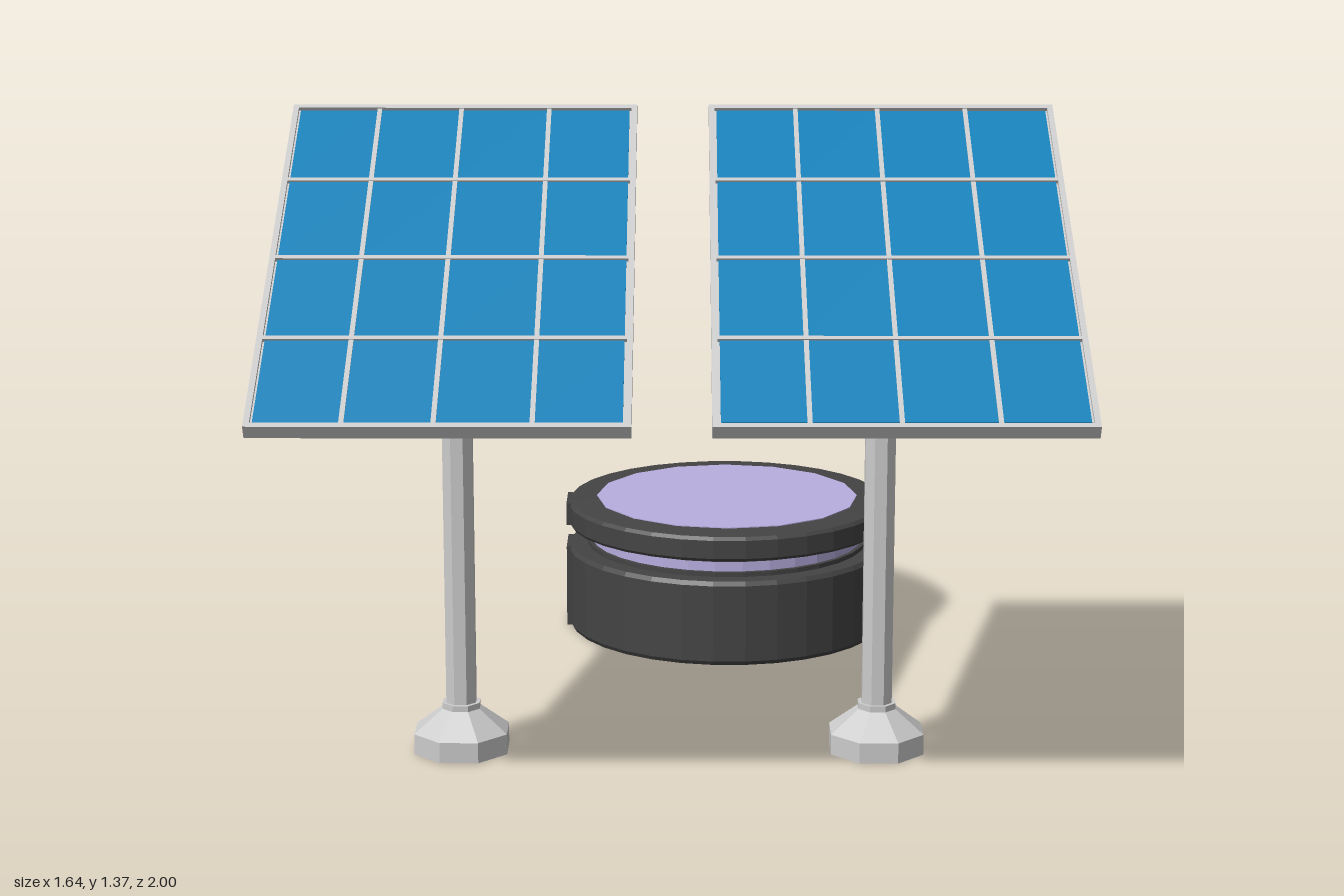
import * as THREE from 'three';

const mat = (color, extra = {}) => new THREE.MeshStandardMaterial({ color, flatShading: true, ...extra });
const grey = mat(0xcccccc);
const blue = mat(0x1280b8);
const dark = mat(0x444444);
const lilac = mat(0xb8aee0);

function add(parent, name, geometry, material, x = 0, y = 0, z = 0) {
  const mesh = new THREE.Mesh(geometry, material);
  mesh.name = name;
  mesh.position.set(x, y, z);
  parent.add(mesh);
  return mesh;
}

// Lathed solid from [radius, y] points; flats face the axes when turned half a step
function turned(points, sides, halfStep = true) {
  const g = new THREE.LatheGeometry(points.map(([r, y]) => new THREE.Vector2(r, y)), sides);
  return halfStep ? g.rotateY(Math.PI / sides) : g;
}

function solarPanel() {
  const panel = new THREE.Group();
  panel.name = 'solarPanel';
  const W = 0.745, L = 1.03, T = 0.03, rim = 0.012;
  add(panel, 'backing', new THREE.BoxGeometry(W - 0.01, T - 0.008, L - 0.01), grey, 0, -0.004, 0);

  // Outer frame
  for (const s of [-1, 1]) {
    add(panel, 'sideRail', new THREE.BoxGeometry(rim, T, L), grey, s * (W - rim) / 2, 0, 0);
    add(panel, 'endRail', new THREE.BoxGeometry(W, T, rim), grey, 0, 0, s * (L - rim) / 2);
  }

  // Cells between the divider lines
  const xs = [-0.361, -0.185, -0.008, 0.182, 0.361];
  const zs = [-0.503, -0.253, 0.004, 0.254, 0.503];
  for (let i = 0; i < 4; i++) for (let j = 0; j < 4; j++) {
    const w = xs[i + 1] - xs[i] - 0.01, l = zs[j + 1] - zs[j] - 0.01;
    add(panel, 'cell', new THREE.BoxGeometry(w, 0.006, l), blue,
      (xs[i] + xs[i + 1]) / 2, 0.008, (zs[j] + zs[j + 1]) / 2);
  }
  for (let i = 1; i < 4; i++) {
    add(panel, 'longDivider', new THREE.BoxGeometry(0.01, 0.008, L - 0.02), grey, xs[i], 0.009, 0);
    add(panel, 'crossDivider', new THREE.BoxGeometry(W - 0.02, 0.011, 0.01), grey, 0, 0.0095, zs[i]);
  }
  return panel;
}

function solarStand() {
  const stand = new THREE.Group();
  stand.name = 'solarStand';
  const px = -0.01, pz = 0.385;
  const k = 1 / Math.cos(Math.PI / 8);   // flat-to-flat to corner radius

  // Octagonal foot, post and flared cap
  add(stand, 'foot', turned([[0, 0], [0.1 * k, 0], [0.1 * k, 0.045], [0.04 * k, 0.095],
    [0.04 * k, 0.108], [0, 0.108]], 8), grey, px, 0, pz);
  add(stand, 'post', turned([[0.032 * k, 0.1], [0.032 * k, 0.805]], 8), grey, px, 0, pz);
  add(stand, 'postCap', turned([[0.032 * k, 0.795], [0.045 * k, 0.82], [0.045 * k, 0.832],
    [0, 0.832]], 8), grey, px, 0, pz);
  add(stand, 'pivot', new THREE.BoxGeometry(0.045, 0.035, 0.045), grey, px, 0.845, pz);

  // Leaning strut with a mounting pad under the panel
  const strut = new THREE.Group();
  strut.name = 'strut';
  strut.position.set(px, 0.85, pz);
  strut.rotation.x = Math.PI / 6;
  add(strut, 'strutBar', new THREE.CylinderGeometry(0.017, 0.017, 0.28, 8), grey, 0, 0.135, 0);
  add(strut, 'mountPad', new THREE.CylinderGeometry(0.032, 0.02, 0.02, 8), grey, 0, 0.268, 0);
  stand.add(strut);

  const panel = solarPanel();
  panel.position.set(-0.002, 1.101, 0.547);
  panel.rotation.x = Math.PI / 6;
  stand.add(panel);
  return stand;
}

function tank() {
  const g = new THREE.Group();
  g.name = 'tank';
  add(g, 'tankBody', turned([[0, 0], [0.387, 0], [0.393, 0.01], [0.393, 0.195], [0.386, 0.205],
    [0, 0.205]], 32), dark);
  add(g, 'glowCore', turned([[0.335, 0.2], [0.335, 0.26]], 32), lilac);
  // Lips above and below the glowing gap
  add(g, 'lowerLip', turned([[0.345, 0.2], [0.345, 0.216], [0.33, 0.216]], 32), dark);
  add(g, 'upperLip', turned([[0.33, 0.242], [0.345, 0.242], [0.345, 0.26]], 32), dark);
  add(g, 'topRing', turned([[0.3, 0.255], [0.388, 0.255], [0.393, 0.262], [0.393, 0.306],
    [0.386, 0.314], [0.32, 0.318], [0.3, 0.316]], 32), dark);
  add(g, 'topDisc', new THREE.CylinderGeometry(0.322, 0.322, 0.02, 16), lilac, 0, 0.31, 0);
  // Small side plates
  for (const s of [-1, 1]) {
    add(g, 'sidePlate', new THREE.BoxGeometry(0.012, 0.2, 0.12), dark, s * 0.39, 0.103, 0);
    add(g, 'ringPlate', new THREE.BoxGeometry(0.012, 0.055, 0.12), dark, s * 0.39, 0.285, 0);
  }
  return g;
}

export function createModel() {
  const model = new THREE.Group();
  model.name = 'solarStation';
  for (const x of [-0.45, 0.45]) {
    const s = solarStand();
    s.position.x = x;
    model.add(s);
  }
  const t = tank();
  t.position.set(0.13, 0, -0.605);
  model.add(t);
  return model;
}
